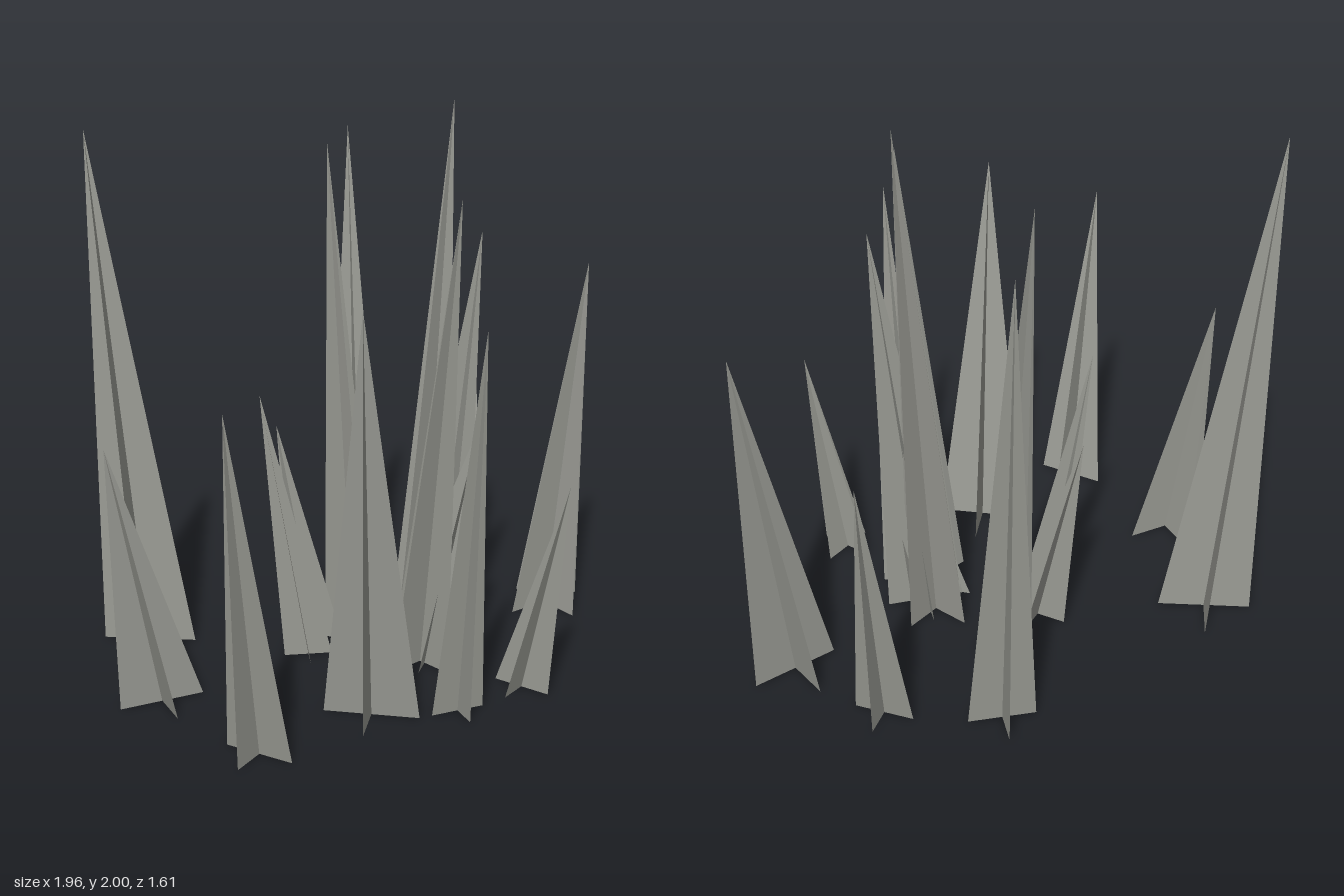
import * as THREE from 'three';

// Each blade: base centre x, z; tip x, z; height; half width
const BLADES = [
  [-0.42, -0.665, -0.52, -0.805, 1.91, 0.17],
  [0.545, -0.475, 0.65, -0.605, 1.8, 0.121],
  [-0.75, -0.26, -0.91, -0.33, 0.95, 0.152],
  [-0.138, -0.125, -0.26, -0.235, 1.0, 0.087],
  [0.015, -0.215, -0.02, -0.38, 0.8, 0.108],
  [0.215, -0.215, 0.26, -0.37, 1.81, 0.123],
  [0.785, -0.142, 0.945, -0.2, 1.04, 0.108],
  [-0.812, 0.26, -0.98, 0.29, 1.22, 0.127],
  [-0.358, 0.36, -0.505, 0.445, 1.47, 0.167],
  [-0.145, 0.568, -0.22, 0.72, 1.4, 0.097],
  [0.148, 0.628, 0.16, 0.8, 0.79, 0.108],
  [0.81, 0.265, 0.98, 0.305, 1.34, 0.164],
  [0.23, 0.1, 0.4, 0.1, 2.0, 0.14],
  [0.21, 0.17, 0.35, 0.27, 1.56, 0.14],
  [0.08, 0.225, 0.06, 0.4, 1.73, 0.14],
  [0.15, 0.215, 0.22, 0.37, 0.9, 0.17],
];

// Two crossed triangles that share one leaning tip
function bladeGeometry(cx, cz, tx, tz, height, half) {
  const lean = new THREE.Vector2(tx - cx, tz - cz).normalize().multiplyScalar(half);
  const points = [];
  for (const [dx, dz] of [[lean.y, -lean.x], [lean.x, lean.y]]) {
    points.push(
      cx - dx, 0, cz - dz,
      cx + dx, 0, cz + dz,
      tx, height, tz,
    );
  }
  const geometry = new THREE.BufferGeometry();
  geometry.setAttribute('position', new THREE.Float32BufferAttribute(points, 3));
  geometry.computeVertexNormals();
  return geometry;
}

export function createModel() {
  const group = new THREE.Group();
  group.name = 'grassClump';
  const material = new THREE.MeshStandardMaterial({ color: 0x9b9c95, side: THREE.DoubleSide });
  material.name = 'dry grey green';

  BLADES.forEach((blade, i) => {
    const mesh = new THREE.Mesh(bladeGeometry(...blade), material);
    mesh.name = `blade${i + 1}`;
    group.add(mesh);
  });
  return group;
}
